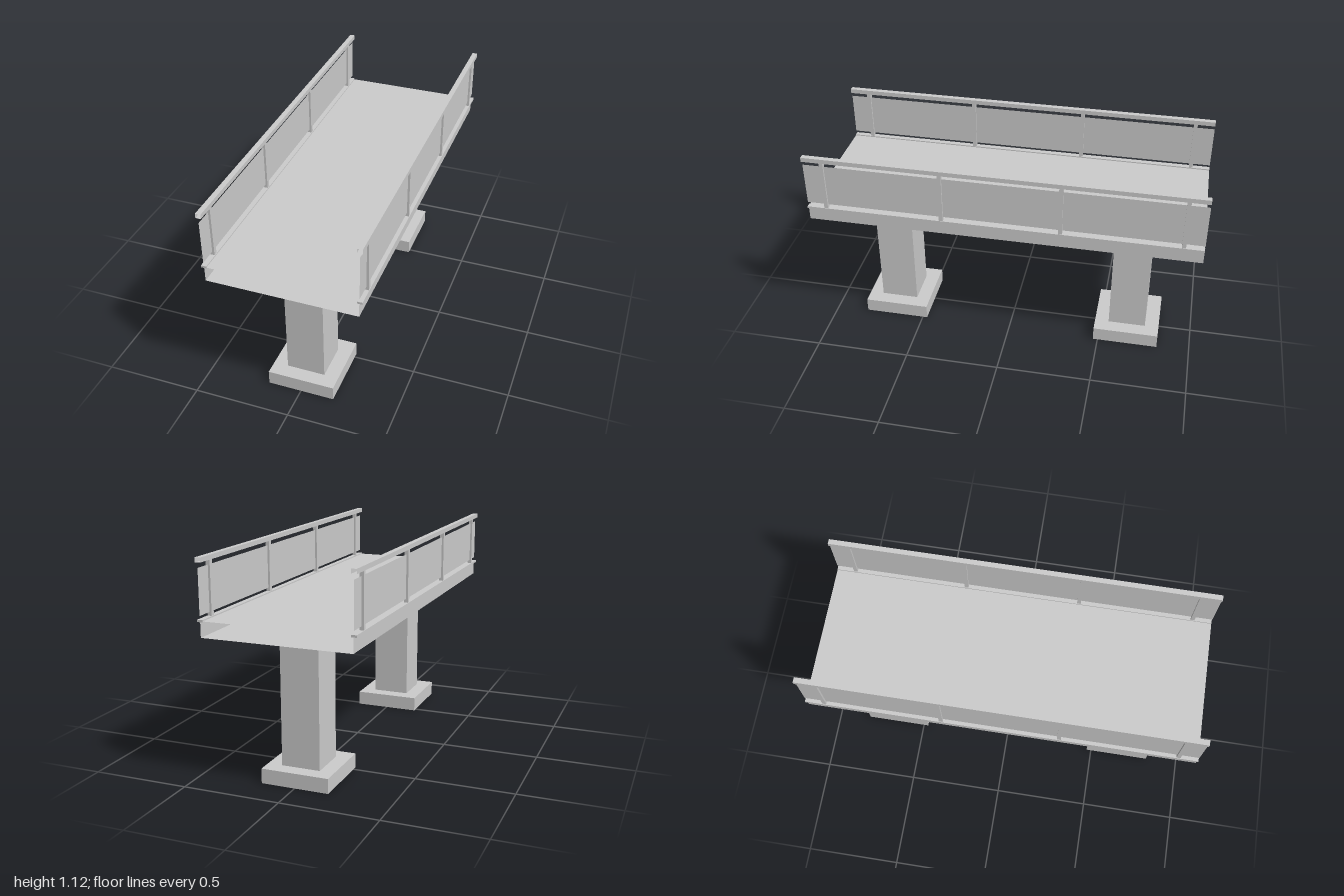
import * as THREE from 'three';

const concrete = new THREE.MeshStandardMaterial({ color: 0xcccccc, side: THREE.DoubleSide });
concrete.name = 'concreteGrey';

// Box spanning y0..y1, with the listed faces left off (px, nx, py, ny, pz, nz)
const FACES = ['px', 'nx', 'py', 'ny', 'pz', 'nz'];
function shell(parent, name, [w, y0, y1, d], [x, z], open = []) {
  const geometry = new THREE.BoxGeometry(w, y1 - y0, d);
  const index = Array.from(geometry.index.array);
  geometry.setIndex(index.filter((_, i) => !open.includes(FACES[Math.floor(i / 6)])));
  geometry.clearGroups();
  const mesh = new THREE.Mesh(geometry, concrete);
  mesh.name = name;
  mesh.position.set(x, (y0 + y1) / 2, z);
  parent.add(mesh);
}

export function createModel() {
  const bridge = new THREE.Group();
  bridge.name = 'bridgeSegment';

  // Hollow deck, open at both ends so segments can join
  shell(bridge, 'deck', [0.75, 0.752, 0.83, 2], [0, 0], ['pz', 'nz']);

  // Piers running down through hollow footings
  for (const z of [0.65, -0.65]) {
    const pier = new THREE.Group();
    pier.name = z > 0 ? 'frontPier' : 'backPier';
    shell(pier, 'column', [0.2, 0, 0.752, 0.2], [0, z], ['py', 'ny']);
    shell(pier, 'footing', [0.35, 0, 0.076, 0.35], [0, z], ['ny']);
    bridge.add(pier);
  }

  // Railings along both deck edges
  for (const side of [1, -1]) {
    const railing = new THREE.Group();
    railing.name = side > 0 ? 'leftRailing' : 'rightRailing';
    const x = side * 0.377;
    shell(railing, 'bottomRail', [0.027, 0.825, 0.836, 2], [x, 0]);
    shell(railing, 'handrail', [0.027, 1.1, 1.123, 2], [x, 0], ['pz', 'nz']);
    for (const z of [0.9, 0.3, -0.3, -0.9]) {
      shell(railing, 'post', [0.021, 0.836, 1.1, 0.02], [x, z], ['py', 'ny']);
    }
    const panel = new THREE.Mesh(new THREE.PlaneGeometry(2, 0.222), concrete);
    panel.name = 'panel';
    panel.rotation.y = side * Math.PI / 2;
    panel.position.set(x, 0.965, 0);
    railing.add(panel);
    bridge.add(railing);
  }
  return bridge;
}
